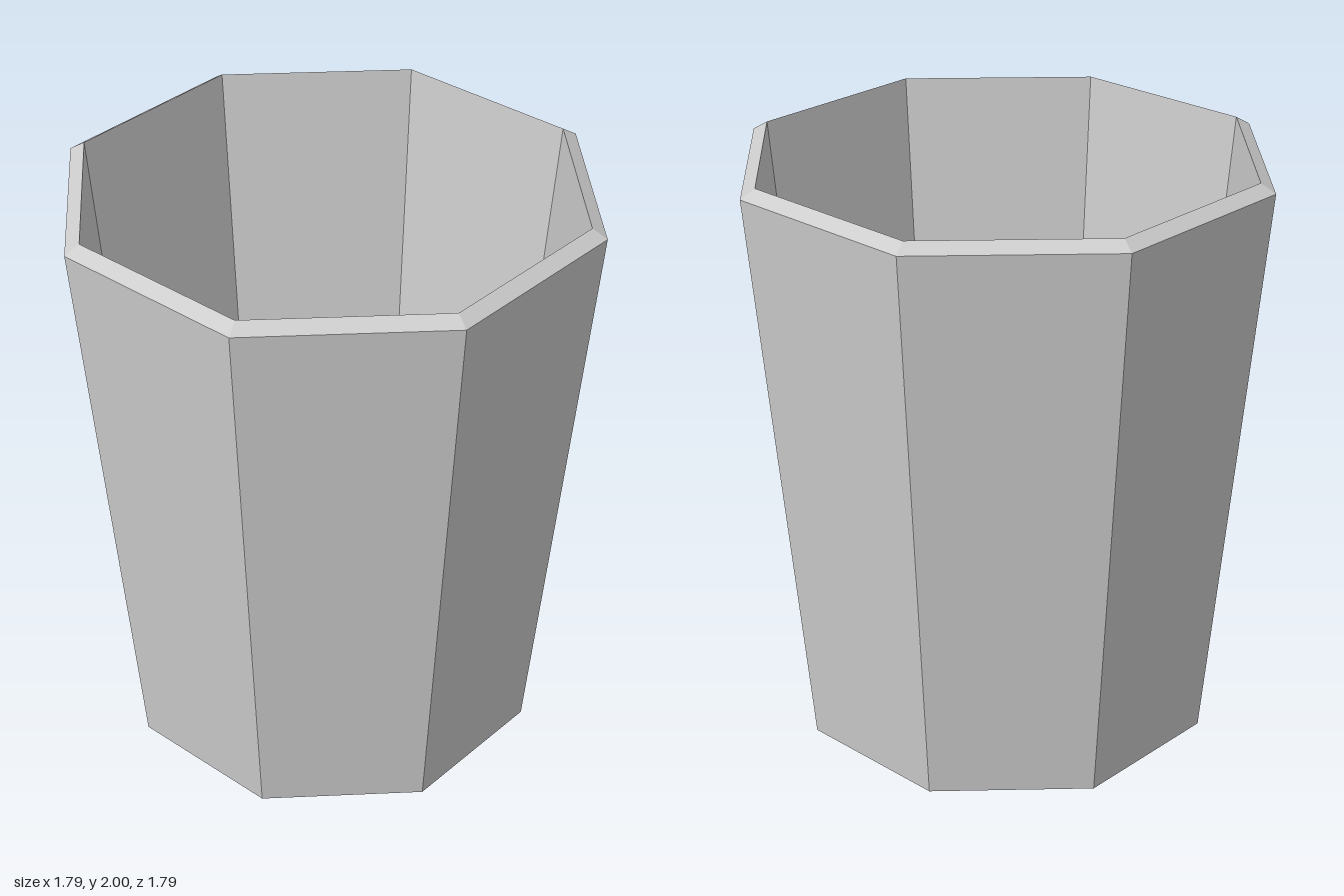
import * as THREE from 'three';

const SIDES = 8;

// Revolve a [radius, height] profile into a faceted eight-sided surface
function facetedLathe(profile) {
  const points = profile.map(([r, y]) => new THREE.Vector2(r, y));
  const geometry = new THREE.LatheGeometry(points, SIDES).toNonIndexed();
  geometry.computeVertexNormals();
  return geometry;
}

export function createModel() {
  const model = new THREE.Group();
  model.name = 'cup';

  const lightGrey = new THREE.MeshStandardMaterial({ color: 0xcccccc });
  lightGrey.name = 'lightGrey';

  // Each part runs on from the last: underside, wall, rim, inner wall, floor
  const parts = {
    base: [[0, 0], [0.713, 0]],
    outerWall: [[0.713, 0], [0.895, 1.97]],
    bevelledRim: [[0.895, 1.97], [0.845, 2]],
    innerWall: [[0.845, 2], [0.673, 0.14]],
    innerFloor: [[0.673, 0.14], [0, 0.14]],
  };

  for (const [name, profile] of Object.entries(parts)) {
    const mesh = new THREE.Mesh(facetedLathe(profile), lightGrey);
    mesh.name = name;
    model.add(mesh);
  }
  return model;
}
